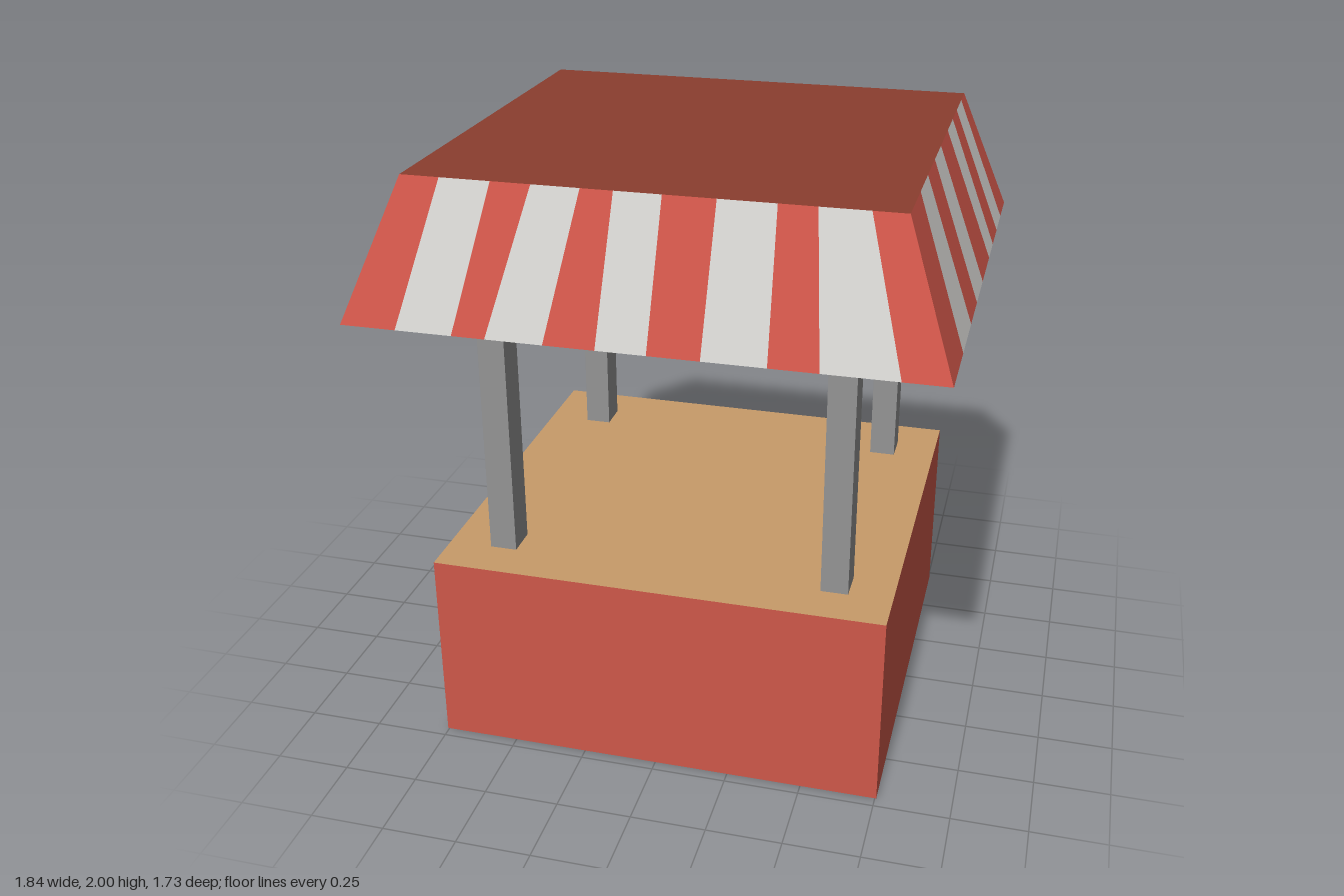
import * as THREE from 'three';

const mat = (name, color) => {
  const m = new THREE.MeshStandardMaterial({ color, side: THREE.DoubleSide });
  m.name = name;
  return m;
};

const HX = 0.755, HZ = 0.712;          // half size of the base and roof
const RIM_X = 0.918, RIM_Z = 0.864;    // half size of the awning's lower rim
const COUNTER_Y = 0.672, RIM_Y = 1.565, TOP_Y = 2;

// Stripe edges along an awning panel, left to right, at its top and its rim
const LONG = {
  top: [-0.63, -0.47, -0.345, -0.195, -0.095, 0.05, 0.21, 0.385, 0.50, 0.65],
  rim: [-0.74, -0.56, -0.455, -0.275, -0.115, 0.04, 0.20, 0.395, 0.545, 0.775],
};
const SHORT = {
  top: [-0.50, -0.33, -0.16, 0, 0.19, 0.34, 0.465, 0.61],
  rim: [-0.615, -0.385, -0.20, -0.005, 0.23, 0.375, 0.53, 0.695],
};

// Sloping panel facing +z, cut into stripes that alternate between two materials
function awningPanel(stripes, topHalf, rimHalf, topDepth, rimDepth) {
  const top = [-topHalf, ...stripes.top, topHalf];
  const rim = [-rimHalf, ...stripes.rim, rimHalf];
  const points = [];
  const geo = new THREE.BufferGeometry();
  for (let i = 0; i < top.length - 1; i++) {
    const a = [rim[i], RIM_Y, rimDepth], b = [rim[i + 1], RIM_Y, rimDepth];
    const c = [top[i + 1], TOP_Y, topDepth], d = [top[i], TOP_Y, topDepth];
    points.push(...a, ...b, ...c, ...a, ...c, ...d);
    geo.addGroup(i * 6, 6, i % 2);
  }
  geo.setAttribute('position', new THREE.Float32BufferAttribute(points, 3));
  geo.computeVertexNormals();
  return geo;
}

// Four upright walls without top or bottom
function openBox(w, h, d) {
  const geo = new THREE.BoxGeometry(w, h, d).toNonIndexed();
  const out = new THREE.BufferGeometry();
  for (const key of ['position', 'normal']) {
    const src = geo.getAttribute(key).array;
    // box faces come as +x, -x, +y, -y, +z, -z with six corners each
    const kept = [...src.slice(0, 36), ...src.slice(72)];
    out.setAttribute(key, new THREE.Float32BufferAttribute(kept, 3));
  }
  return out;
}

export function createModel() {
  const group = new THREE.Group();
  group.name = 'marketStall';
  const baseRed = mat('base red', 0xce5849);
  const stripeRed = mat('stripe red', 0xd0564a);
  const stripeWhite = mat('stripe white', 0xd4d3d0);
  const roofBrown = mat('roof brown', 0x8b3e2f);
  const wood = mat('counter wood', 0xc89b69);
  const grey = mat('post grey', 0x949494);

  const add = (name, geo, material, x = 0, y = 0, z = 0) => {
    const mesh = new THREE.Mesh(geo, material);
    mesh.name = name;
    mesh.position.set(x, y, z);
    group.add(mesh);
    return mesh;
  };

  // Base walls, open underneath, with the counter on top
  add('baseWalls', openBox(HX * 2, COUNTER_Y, HZ * 2), baseRed, 0, COUNTER_Y / 2, 0);
  const sheet = new THREE.PlaneGeometry(HX * 2, HZ * 2).rotateX(-Math.PI / 2);
  add('counterTop', sheet, wood, 0, COUNTER_Y, 0);

  // Hollow posts, running from just under the counter up to the roof
  const postBottom = COUNTER_Y - 0.035, postTop = TOP_Y - 0.005;
  const postGeo = openBox(0.09, postTop - postBottom, 0.108);
  for (const sx of [-1, 1]) for (const sz of [-1, 1]) {
    add(`${sz > 0 ? 'front' : 'back'}${sx > 0 ? 'Left' : 'Right'}Post`, postGeo, grey,
      sx * 0.565, (postTop + postBottom) / 2, sz * 0.511);
  }

  // Flat roof and the striped awning around it
  add('roof', sheet, roofBrown, 0, TOP_Y, 0);
  const longPanel = awningPanel(LONG, HX, RIM_X, HZ, RIM_Z);
  const shortPanel = awningPanel(SHORT, HZ, RIM_Z, HX, RIM_X);
  ['frontAwning', 'leftAwning', 'backAwning', 'rightAwning'].forEach((name, i) => {
    const panel = add(name, i % 2 ? shortPanel : longPanel, [stripeRed, stripeWhite]);
    panel.rotation.y = i * Math.PI / 2;
  });
  return group;
}
